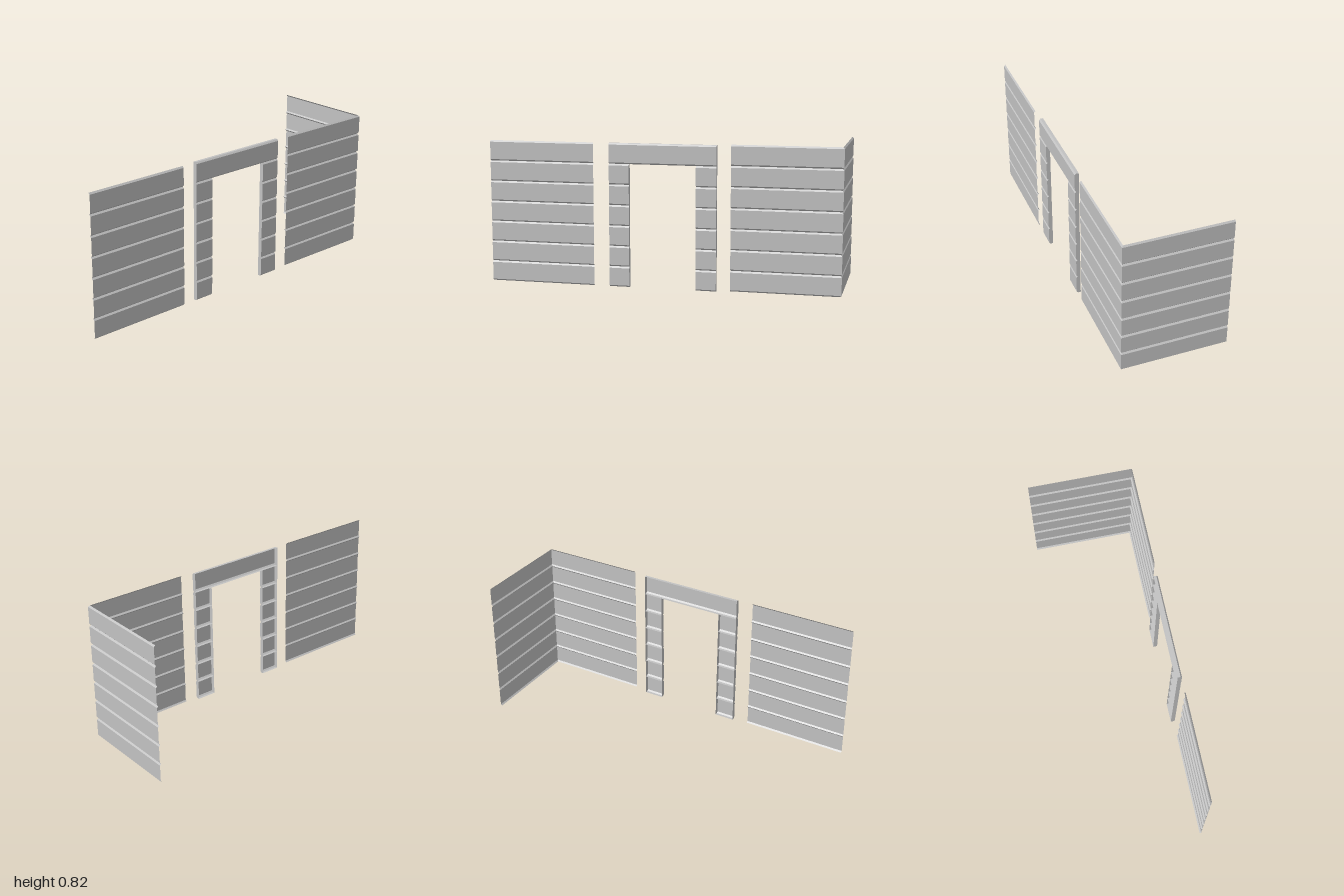
import * as THREE from 'three';

const FRONT = 0.305;    // outer face of the front walls
const BEVEL = 0.008;    // groove depth between planks
const PITCH = 0.116;    // plank height
const PLANKS = 7;
const RETURN = 0.024;   // depth of the doorway planks

const siding = new THREE.MeshStandardMaterial({ color: 0xc2c2c2, side: THREE.DoubleSide });
siding.name = 'grey siding';

// Bevelled plank profile as [height, depth behind the face]
const plankProfile = [[0, BEVEL], [BEVEL, 0], [PITCH - BEVEL - 0.001, 0], [PITCH, BEVEL]];
const deepProfile = [[0, RETURN], ...plankProfile, [PITCH, RETURN]];

// Sweeps a profile along a plan path; path(depth) gives [x, z] points
function sweep(profile, path) {
  const pos = [];
  const tri = (a, b, c) => {
    if (new THREE.Triangle(a, b, c).getArea() > 1e-9) {
      for (const p of [a, b, c]) pos.push(p.x, p.y, p.z);
    }
  };
  const rows = profile.map(([y, d]) => path(d).map(([x, z]) => new THREE.Vector3(x, y, z)));
  for (let j = 0; j < rows.length - 1; j++) {
    for (let i = 0; i < rows[j].length - 1; i++) {
      const a = rows[j][i], b = rows[j][i + 1], c = rows[j + 1][i + 1], d = rows[j + 1][i];
      tri(a, b, c);
      tri(a, c, d);
    }
  }
  const geo = new THREE.BufferGeometry();
  geo.setAttribute('position', new THREE.Float32BufferAttribute(pos, 3));
  geo.computeVertexNormals();
  return geo;
}

// Stacks copies of one plank into a named panel
function stack(name, geo, count, y) {
  const panel = new THREE.Group();
  panel.name = name;
  for (let i = 0; i < count; i++) {
    const plank = new THREE.Mesh(geo, siding);
    plank.name = 'plank';
    plank.position.y = y + i * PITCH;
    panel.add(plank);
  }
  return panel;
}

// Doorway plank: bevelled face with side, top and bottom returns
const doorPlank = (x0, x1) => sweep(deepProfile, d => [
  [x0, FRONT - RETURN], [x0, FRONT - d], [x1, FRONT - d], [x1, FRONT - RETURN],
]);

export function createModel() {
  const model = new THREE.Group();
  model.name = 'sidingWalls';

  // Plain wall panel
  const flat = sweep(plankProfile, d => [[-1, FRONT - d], [-0.39, FRONT - d]]);
  model.add(stack('rightWall', flat, PLANKS, 0));

  // Wall panel that turns a mitred corner into the side wall
  const corner = sweep(plankProfile, d => [[0.39, FRONT - d], [1 - d, FRONT - d], [1 - d, -FRONT]]);
  model.add(stack('cornerWall', corner, PLANKS, 0.006));

  // Doorway: two jambs under a full-width lintel
  const doorway = new THREE.Group();
  doorway.name = 'doorway';
  doorway.add(stack('rightJamb', doorPlank(-0.3, -0.185), PLANKS - 1, 0));
  doorway.add(stack('leftJamb', doorPlank(0.195, 0.31), PLANKS - 1, 0));
  doorway.add(stack('lintel', doorPlank(-0.3, 0.31), 1, (PLANKS - 1) * PITCH));
  model.add(doorway);

  return model;
}
